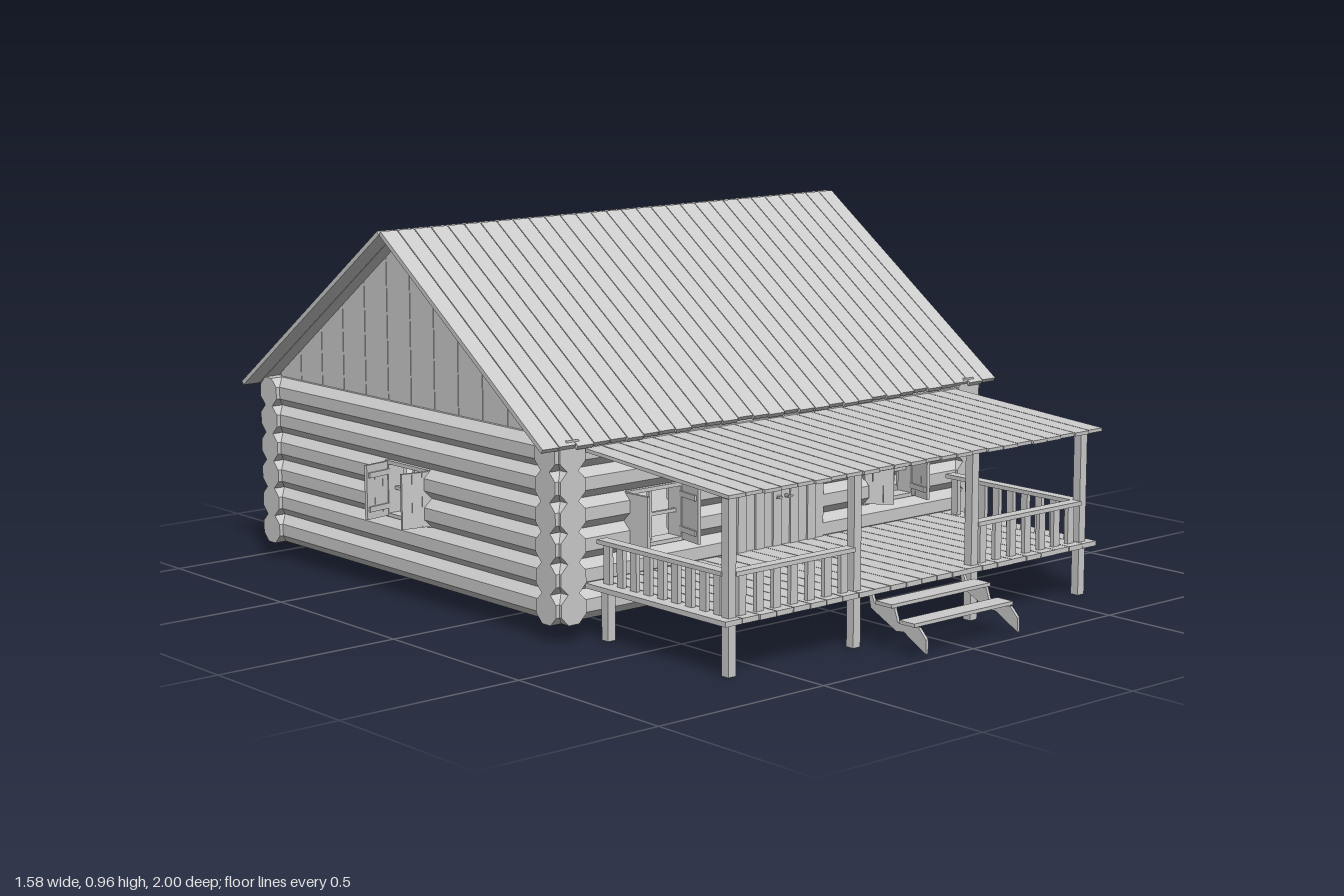
import * as THREE from 'three';

const mat = new THREE.MeshStandardMaterial({ color: 0xcccccc, flatShading: true, side: THREE.DoubleSide });
const MID_Z = -0.333, HALF_Z = 0.607, WALL_X = 0.69;   // wall centre lines
const ROWS = 6, PITCH = 0.076, APOTHEM = 0.039;
const RIDGE_Y = 0.96, EAVE_Y = 0.487, EAVE_RUN = 0.658;

// Small repeatable variation for uneven boards
const wobble = (i) => Math.sin(i * 12.9898) * 0.5 + Math.sin(i * 4.1) * 0.5;

function add(parent, name, geo, x = 0, y = 0, z = 0) {
  const m = new THREE.Mesh(geo, mat);
  m.name = name;
  m.position.set(x, y, z);
  parent.add(m);
  return m;
}
const box = (parent, name, w, h, d, x, y, z) =>
  add(parent, name, new THREE.BoxGeometry(w, h, d), x, y, z);

function group(parent, name) {
  const g = new THREE.Group();
  g.name = name;
  parent.add(g);
  return g;
}

// Eight-sided log lying along x or z, flat side down
function log(parent, name, axis, from, to, y, across) {
  const geo = new THREE.CylinderGeometry(APOTHEM / Math.cos(Math.PI / 8), APOTHEM / Math.cos(Math.PI / 8), to - from, 8);
  geo.rotateY(Math.PI / 8);
  if (axis === 'x') geo.rotateZ(Math.PI / 2); else geo.rotateX(Math.PI / 2);
  const mid = (from + to) / 2;
  add(parent, name, geo, axis === 'x' ? mid : across, y, axis === 'x' ? across : mid);
}

// Wall of stacked logs; openings are [from, to, firstRow, lastRow]
function logWall(parent, name, axis, from, to, across, openings = []) {
  const wall = group(parent, name);
  for (let r = 0; r < ROWS; r++) {
    const y = 0.045 + APOTHEM + PITCH * r;
    let start = from;
    for (const [a, b, first, last] of openings) {
      if (r < first || r > last) continue;
      log(wall, 'log', axis, start, a, y, across);
      start = b;
    }
    log(wall, 'log', axis, start, to, y, across);
  }
}

// Window facing +z with frame, cross bars and two hinged shutters
function windowUnit(parent, x, z, turn, half, leftOpen, rightOpen) {
  const g = group(parent, 'window');
  g.position.set(x, 0.273, z);
  g.rotation.y = turn;
  const H = 0.15;
  for (const s of [-1, 1]) {
    box(g, 'windowJamb', 0.012, H, 0.05, s * (half - 0.006), 0, 0);
    box(g, 'windowSill', half * 2, 0.01, 0.05, 0, s * (H / 2 - 0.005), 0);
    const leaf = group(g, 'shutter');
    leaf.position.set(s * (half - 0.002), 0, 0.015);
    leaf.rotation.y = s * (s < 0 ? leftOpen : rightOpen);
    for (let i = 0; i < 3; i++)
      box(leaf, 'shutterBoard', 0.028, H - 0.006, 0.009, -s * (0.015 + i * 0.0285), 0, 0);
    for (const k of [-1, 1])
      box(leaf, 'shutterBatten', 0.075, 0.014, 0.006, -s * 0.043, k * 0.045, -0.007);
  }
  box(g, 'uprightBar', 0.009, H, 0.01, 0, 0, 0);
  box(g, 'crossBar', half * 2, 0.009, 0.01, 0, 0, 0);
}

// Sloped roof of boards from a high edge to a low edge
function boardRoof(parent, name, halfX, count, zTop, yTop, zLow, yLow, thick) {
  const g = group(parent, name);
  const dz = zLow - zTop, dy = yLow - yTop, len = Math.hypot(dz, dy), w = 2 * halfX / count;
  const tilt = Math.atan2(-dy, Math.abs(dz)) * Math.sign(dz);
  for (let i = 0; i < count; i++) {
    const l = len + wobble(i) * 0.006;
    const m = box(g, 'roofBoard', w - 0.0025, thick, l, -halfX + w * (i + 0.5),
      yTop + dy * l / len / 2, zTop + dz * l / len / 2);
    m.rotation.x = tilt;
  }
}

// Gable filled with upright boards cut to the roof slope
function gable(parent, x) {
  const g = group(parent, 'gable');
  const slope = (RIDGE_Y - EAVE_Y) / EAVE_RUN, base = 0.49;
  const top = (z) => Math.max(RIDGE_Y - 0.01 - Math.abs(z) * slope, base);
  const w = 0.1015;
  for (let i = -6; i < 6; i++) {
    const a = i * w + 0.001, b = (i + 1) * w - 0.001;
    const s = new THREE.Shape();
    s.moveTo(a, base); s.lineTo(b, base); s.lineTo(b, top(b)); s.lineTo(a, top(a));
    const geo = new THREE.ExtrudeGeometry(s, { depth: 0.014, bevelEnabled: false });
    geo.translate(0, 0, -0.007);
    geo.rotateY(-Math.PI / 2);
    add(g, 'gableBoard', geo, x, 0, MID_Z);
  }
}

function railing(parent, from, to, axis, across, count) {
  const g = group(parent, 'railing');
  const len = to - from, mid = (from + to) / 2;
  const put = (name, along, h, thick, pos, y) => axis === 'x'
    ? box(g, name, along, h, thick, pos, y, across)
    : box(g, name, thick, h, along, across, y, pos);
  put('handrail', len, 0.011, 0.032, mid, 0.245);
  for (let i = 0; i < count; i++)
    put('baluster', 0.023, 0.1, 0.012, from + len * (i + 0.5) / count, 0.19);
}

function porch(parent) {
  const g = group(parent, 'porch');
  for (let i = 0; i < 24; i++)
    box(g, 'deckBoard', 0.0515, 0.013, 0.515 + wobble(i) * 0.004, -0.621 + i * 0.054, 0.135, 0.567);
  for (const x of [-0.61, -0.205, 0.205, 0.61]) {
    box(g, 'porchPost', 0.024, 0.437, 0.024, x, 0.2185, 0.795);
    box(g, 'deckLeg', 0.024, 0.13, 0.024, x, 0.065, 0.355);
  }
  box(g, 'roofBeam', 1.25, 0.012, 0.02, 0, 0.431, 0.795);
  boardRoof(g, 'porchRoof', 0.648, 24, 0.3, 0.473, 0.835, 0.437, 0.009);
  for (const s of [-1, 1]) {
    railing(g, s < 0 ? -0.6 : 0.215, s < 0 ? -0.215 : 0.6, 'x', 0.795, 7);
    railing(g, 0.33, 0.785, 'z', s * 0.61, 9);
  }
}

function stairs(parent) {
  const g = group(parent, 'stairs');
  const side = new THREE.Shape([
    [1.0, 0.05], [0.975, 0.075], [0.905, 0.075], [0.893, 0.108], [0.825, 0.108], [0.815, 0.13],
    [0.805, 0.13], [0.812, 0.095], [0.835, 0.083], [0.9, 0.052], [0.925, 0.055], [1.0, 0.015],
  ].map(([z, y]) => new THREE.Vector2(-z, y)));
  const geo = new THREE.ExtrudeGeometry(side, { depth: 0.008, bevelEnabled: false });
  geo.translate(0, 0, -0.004);
  geo.rotateY(Math.PI / 2);
  for (const x of [-0.16, 0.16]) add(g, 'stringer', geo, x);
  box(g, 'upperTread', 0.345, 0.009, 0.055, 0, 0.113, 0.865);
  box(g, 'lowerTread', 0.345, 0.009, 0.052, 0, 0.08, 0.943);
}

// Double door of alternating raised boards, with handles
function door(parent) {
  const g = group(parent, 'doubleDoor');
  for (let i = 0; i < 10; i++)
    box(g, 'doorBoard', 0.0295, 0.262, 0.018, -0.137 + i * 0.0304, 0.27, i % 2 ? 0.306 : 0.31);
  for (const s of [-1, 1]) {
    const knob = add(g, 'doorHandle', new THREE.CylinderGeometry(0.005, 0.005, 0.014, 6), s * 0.014, 0.27, 0.324);
    knob.rotation.x = Math.PI / 2;
    box(g, 'handleLever', 0.016, 0.004, 0.004, s * 0.02, 0.27, 0.331);
  }
}

function floor(parent) {
  const g = group(parent, 'cabinFloor');
  box(g, 'floorPanel', 1.34, 0.01, 1.17, 0, 0.128, MID_Z);
  for (let i = 0; i < 14; i++)
    box(g, 'floorJoist', 1.34, 0.045, 0.024, 0, 0.1, MID_Z - 0.54 + i * 0.083);
}

export function createModel() {
  const cabin = new THREE.Group();
  cabin.name = 'logCabin';

  // Log walls; the two middle rows stop at the windows
  const frontZ = MID_Z + HALF_Z, backZ = MID_Z - HALF_Z;
  logWall(cabin, 'frontWall', 'x', -0.74, 0.74, frontZ,
    [[-0.5, -0.32, 2, 3], [-0.14, 0.14, 2, 3], [0.32, 0.5, 2, 3]]);
  logWall(cabin, 'backWall', 'x', -0.74, 0.74, backZ);
  for (const s of [-1, 1]) {
    logWall(cabin, 'sideWall', 'z', MID_Z - 0.653, MID_Z + 0.653, s * WALL_X,
      [[MID_Z - 0.09, MID_Z + 0.09, 2, 3]]);
    windowUnit(cabin, s * WALL_X, MID_Z, s * Math.PI / 2, 0.095, 1.4, 1.4);
    gable(cabin, s * WALL_X);
    boardRoof(cabin, 'roofSlope', 0.79, 30, MID_Z + s * 0.004, RIDGE_Y - 0.006,
      MID_Z + s * EAVE_RUN, EAVE_Y, 0.012);
  }
  windowUnit(cabin, -0.41, frontZ, 0, 0.095, 1.5, 1.4);
  windowUnit(cabin, 0.41, frontZ, 0, 0.095, 0.85, 1.35);

  door(cabin);
  floor(cabin);
  porch(cabin);
  stairs(cabin);
  return cabin;
}
